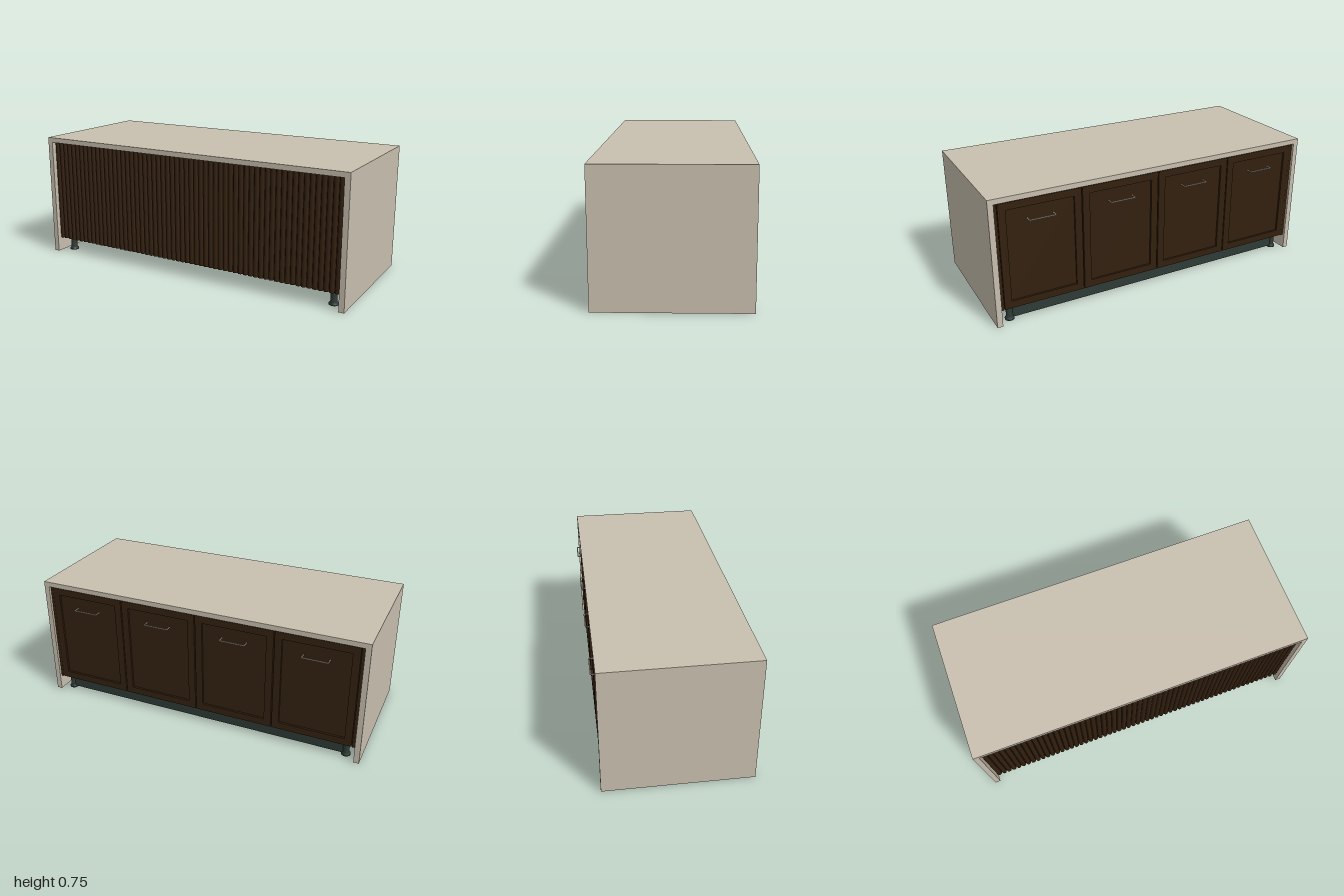
import * as THREE from 'three';

const mat = (name, color) => {
  const m = new THREE.MeshStandardMaterial({ color });
  m.name = name;
  return m;
};

export function createModel() {
  const root = new THREE.Group();
  root.name = 'kitchenIsland';
  const stone = mat('stone', 0xc8bfae);
  const wood = mat('darkWood', 0x33200f);
  const plinthMat = mat('plinthGrey', 0x2e3a36);
  const metal = mat('handleMetal', 0xc2baa8);

  const add = (parent, name, geo, material, x = 0, y = 0, z = 0) => {
    const mesh = new THREE.Mesh(geo, material);
    mesh.name = name;
    mesh.position.set(x, y, z);
    parent.add(mesh);
    return mesh;
  };
  // Box given by its minimum and maximum corners
  const box = (parent, name, material, x0, x1, y0, y1, z0, z1) =>
    add(parent, name, new THREE.BoxGeometry(x1 - x0, y1 - y0, z1 - z0), material,
      (x0 + x1) / 2, (y0 + y1) / 2, (z0 + z1) / 2);

  // Waterfall worktop: one U-shaped slab extruded front to back
  const u = new THREE.Shape();
  [[-1, 0], [-1, 0.75], [1, 0.75], [1, 0], [0.968, 0], [0.968, 0.72], [-0.968, 0.72], [-0.968, 0]]
    .forEach(([x, y], i) => (i ? u.lineTo(x, y) : u.moveTo(x, y)));
  add(root, 'waterfallWorktop',
    new THREE.ExtrudeGeometry(u, { depth: 0.832, bevelEnabled: false }), stone, 0, 0, -0.406);

  // Cabinet body
  const y0 = 0.09, y1 = 0.718;
  box(root, 'cabinetBody', wood, -0.966, 0.966, y0, y1, -0.372, 0.395);

  // Fluted front: a row of half-round slats
  const slats = new THREE.Group();
  slats.name = 'flutedFront';
  root.add(slats);
  const count = 60, pitch = 1.932 / count;
  const slatGeo = new THREE.CylinderGeometry(pitch * 0.46, pitch * 0.46, y1 - y0, 10, 1, false, -Math.PI / 2, Math.PI);
  for (let i = 0; i < count; i++) {
    add(slats, 'slat', slatGeo, wood, -0.966 + pitch * (i + 0.5), (y0 + y1) / 2, 0.395);
  }

  // Framed doors with pull handles on the back
  const w = 0.469, h = y1 - y0 - 0.008, stile = 0.042;
  const rect = (path, a, b) => {
    path.moveTo(-a, -b);
    path.lineTo(a, -b);
    path.lineTo(a, b);
    path.lineTo(-a, b);
    path.closePath();
    return path;
  };
  const frame = rect(new THREE.Shape(), w / 2, h / 2);
  frame.holes.push(rect(new THREE.Path(), w / 2 - stile, h / 2 - stile));
  const frameGeo = new THREE.ExtrudeGeometry(frame, { depth: 0.022, bevelEnabled: false });
  const pull = new THREE.CurvePath();
  const pts = [[-0.074, 0], [-0.074, -0.036], [0.074, -0.036], [0.074, 0]]
    .map(([x, z]) => new THREE.Vector3(x, 0, z));
  for (let i = 0; i < 3; i++) pull.add(new THREE.LineCurve3(pts[i], pts[i + 1]));
  const pullGeo = new THREE.TubeGeometry(pull, 48, 0.0038, 8);
  for (const x of [-0.7125, -0.2375, 0.2375, 0.7125]) {
    const door = new THREE.Group();
    door.name = 'door';
    door.position.set(x, (y0 + y1) / 2, 0);
    root.add(door);
    add(door, 'doorFrame', frameGeo, wood, 0, 0, -0.397);
    add(door, 'doorPanel', new THREE.BoxGeometry(w - 2 * stile, h - 2 * stile, 0.012), wood, 0, 0, -0.379);
    add(door, 'handle', pullGeo, metal, 0, 0.6 - (y0 + y1) / 2, -0.385);
  }
  // Filler strips beside the outer doors
  for (const s of [-1, 1]) add(root, 'fillerStrip', new THREE.BoxGeometry(0.016, y1 - y0, 0.022), wood, s * 0.958, (y0 + y1) / 2, -0.383);

  // Plinth and turned adjustable legs
  box(root, 'plinth', plinthMat, -0.9, 0.9, 0.01, 0.08, -0.355, -0.33);
  const legGeo = new THREE.LatheGeometry(
    [[0, 0], [0.027, 0], [0.027, 0.009], [0.019, 0.018], [0.019, 0.076], [0.023, 0.08], [0.023, 0.091], [0, 0.091]]
      .map(([r, y]) => new THREE.Vector2(r, y)), 20);
  for (const x of [-0.91, 0.91]) for (const z of [-0.345, 0.34]) add(root, 'leg', legGeo, plinthMat, x, 0, z);

  return root;
}
